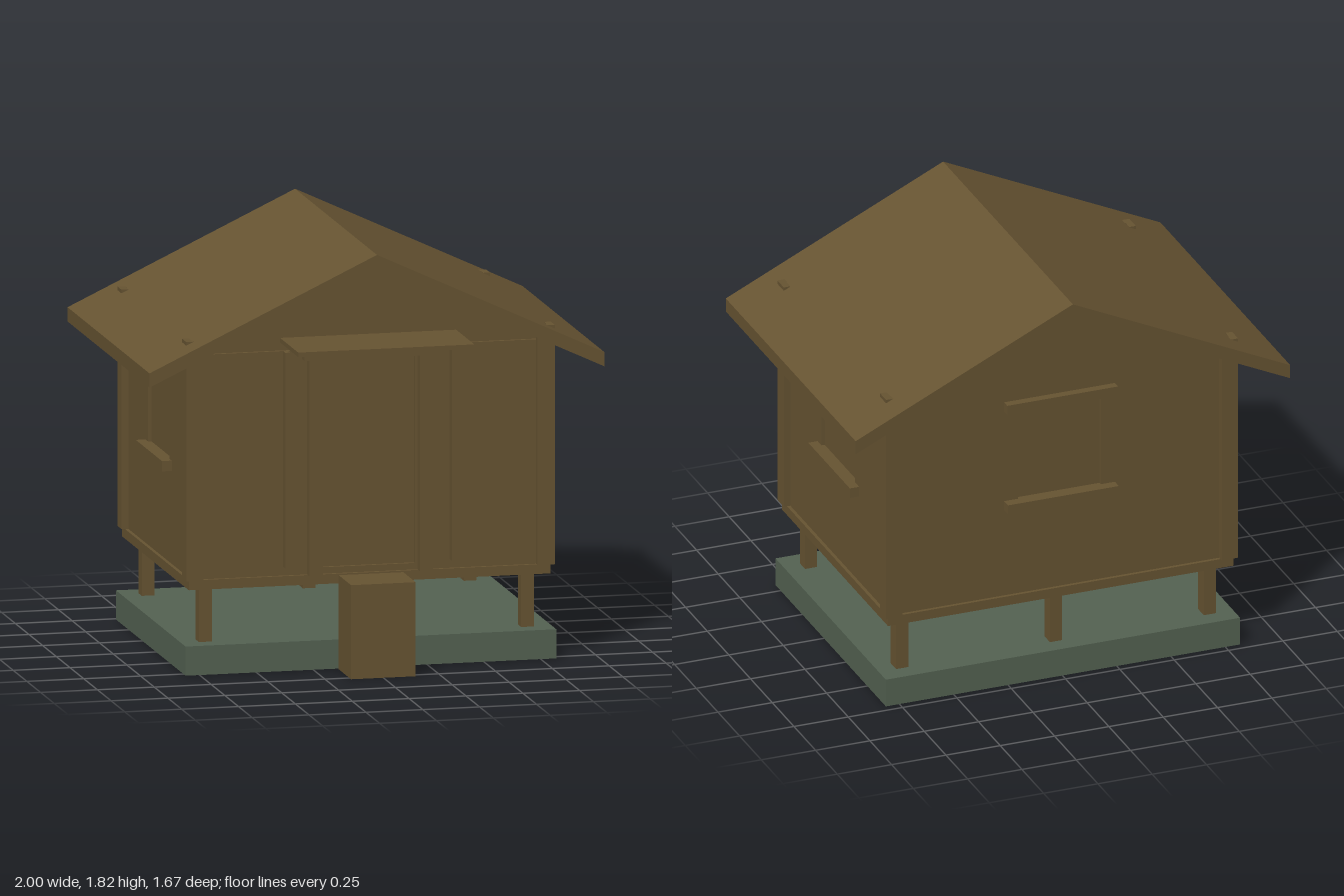
import * as THREE from 'three';

const wood = new THREE.MeshStandardMaterial({ color: 0x675432 });
wood.name = 'brown wood';
const green = new THREE.MeshStandardMaterial({ color: 0x546252 });
green.name = 'grey green';

const rect = (x0, x1, y0, y1) => [[x0, y0], [x1, y0], [x1, y1], [x0, y1]];
const toVectors = (points) => points.map(([x, y]) => new THREE.Vector2(x, y));

export function createModel() {
  const model = new THREE.Group();
  model.name = 'raisedHut';

  // Box given by its limits on each axis
  function box(name, x0, x1, y0, y1, z0, z1, material = wood) {
    const mesh = new THREE.Mesh(new THREE.BoxGeometry(x1 - x0, y1 - y0, z1 - z0), material);
    mesh.position.set((x0 + x1) / 2, (y0 + y1) / 2, (z0 + z1) / 2);
    mesh.name = name;
    model.add(mesh);
  }

  // Outline in x and y with an optional opening, extruded from z0 to z1
  function prism(name, points, z0, z1, opening) {
    const shape = new THREE.Shape(toVectors(points));
    if (opening) shape.holes.push(new THREE.Path(toVectors(opening)));
    const geometry = new THREE.ExtrudeGeometry(shape, { depth: z1 - z0, bevelEnabled: false });
    geometry.translate(0, 0, z0);
    const mesh = new THREE.Mesh(geometry, wood);
    mesh.name = name;
    model.add(mesh);
    return mesh;
  }

  // Ground slab, posts and front step
  box('groundSlab', -0.815, 0.815, 0.003, 0.13, -0.72, 0.553, green);
  for (const x of [-0.708, 0, 0.708]) {
    box('frontPost', x - 0.028, x + 0.028, 0, 0.38, 0.41, 0.47);
    box('backPost', x - 0.028, x + 0.028, 0, 0.38, -0.64, -0.575);
  }
  box('step', -0.142, 0.142, 0, 0.41, 0.553, 0.78);

  // Floor, inner walls and roof
  const gable = (x, eave, top) => [[-x, 0.41], [x, 0.41], [x, eave], [0, top], [-x, eave]];
  box('floor', -0.795, 0.795, 0.37, 0.412, -0.695, 0.53);
  prism('innerWalls', gable(0.765, 1.4, 1.76), -0.665, 0.5);
  prism('roof', [[-1, 1.288], [0, 1.758], [1, 1.288], [1, 1.35], [0, 1.82], [-1, 1.35]], -0.835, 0.663);

  // Wall panels with a doorway and windows
  prism('frontPanel', rect(-0.78, 0.78, 0.41, 1.39), 0.5, 0.515, rect(-0.202, 0.202, 0.44, 1.345));
  prism('backPanel', gable(0.78, 1.393, 1.76), -0.68, -0.665, rect(-0.19, 0.19, 0.85, 1.29));
  for (const s of [-1, 1]) {
    // The panel's x runs along -z once it is turned to face +x
    const panel = prism('sidePanel', rect(-0.515, 0.68, 0.41, 1.393), 0, 0.015, rect(-0.11, 0.275, 0.862, 1.28));
    panel.rotation.y = Math.PI / 2;
    panel.position.x = s > 0 ? 0.765 : -0.78;

    const sideBox = (name, x0, x1, ...rest) =>
      box(name, Math.min(s * x0, s * x1), Math.max(s * x0, s * x1), ...rest);

    // L-shaped corner boards, whose tips poke through the roof
    sideBox('frontCornerBoard', 0.735, 0.81, 0.412, 1.455, 0.515, 0.545);
    sideBox('frontCornerSideBoard', 0.78, 0.81, 0.412, 1.455, 0.47, 0.515);
    sideBox('backCornerBoard', 0.735, 0.81, 0.412, 1.455, -0.71, -0.68);
    sideBox('backCornerSideBoard', 0.78, 0.81, 0.412, 1.455, -0.68, -0.64);

    // Side window ledges
    sideBox('sideWindowSill', 0.765, 0.823, 0.817, 0.862, -0.325, 0.155);
    sideBox('sideWindowHead', 0.765, 0.815, 1.28, 1.33, -0.33, 0.165);

    // Door frame and battens
    sideBox('doorJamb', 0.213, 0.272, 0.412, 1.39, 0.515, 0.56);
    sideBox('frontBatten', 0.355, 0.377, 0.45, 1.39, 0.515, 0.555);
  }

  // Lintel and hood
  box('lintel', -0.295, 0.295, 1.352, 1.425, 0.5, 0.562);
  box('doorHood', -0.387, 0.387, 1.425, 1.445, 0.5, 0.833);

  // Back window ledges
  box('backWindowSill', -0.255, 0.255, 0.817, 0.86, -0.725, -0.665);
  box('backWindowHead', -0.255, 0.255, 1.285, 1.33, -0.717, -0.665);

  // Thin green strip beside the back corner
  box('greenStrip', 0.78, 0.786, 0.48, 0.8, -0.64, -0.612, green);

  return model;
}
